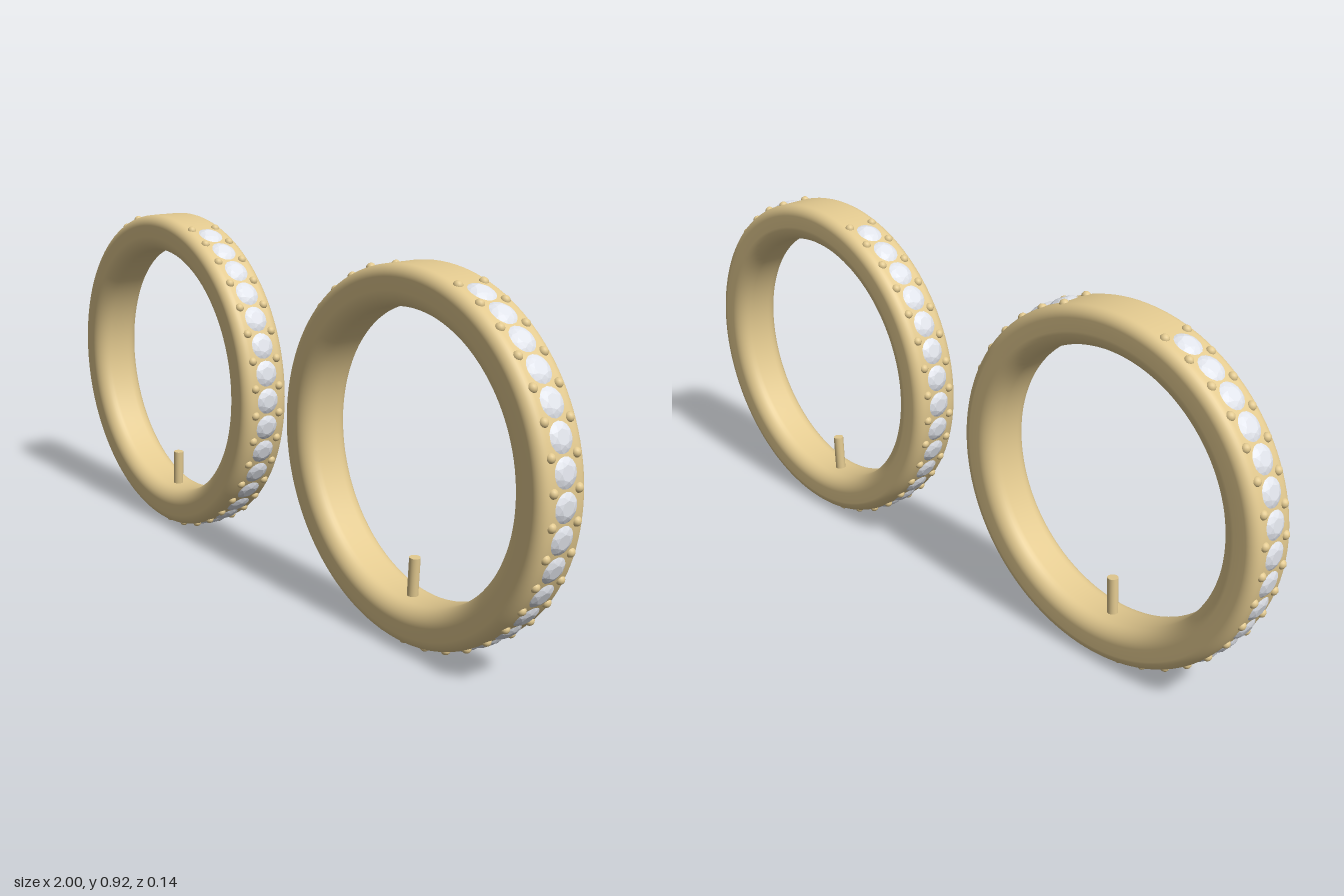
import * as THREE from 'three';
import { ConvexGeometry } from 'three/addons/geometries/ConvexGeometry.js';

const OUTER = 0.455, INNER = 0.355, HALF = 0.07;
const CENTRE_X = 0.537, CENTRE_Y = 0.464;
const GEMS = 34;
const START = THREE.MathUtils.degToRad(71); // stones run from here, round the bottom, to the mirror angle
const STEP = (Math.PI + 2 * START) / GEMS;

// Band: rounded rectangular section revolved about the z axis
function bandGeometry() {
  const pts = [new THREE.Vector2(OUTER, 0)];
  const corner = (cx, cy, r, a0) => {
    for (let i = 0; i <= 8; i++) {
      const a = a0 + (i / 8) * Math.PI / 2;
      pts.push(new THREE.Vector2(cx + r * Math.cos(a), cy + r * Math.sin(a)));
    }
  };
  const ro = 0.028, ri = 0.04;
  corner(OUTER - ro, HALF - ro, ro, 0);
  corner(INNER + ri, HALF - ri, ri, Math.PI / 2);
  corner(INNER + ri, -HALF + ri, ri, Math.PI);
  corner(OUTER - ro, -HALF + ro, ro, Math.PI * 1.5);
  pts.push(new THREE.Vector2(OUTER, 0));
  return new THREE.LatheGeometry(pts, 128).rotateX(Math.PI / 2);
}

// Round brilliant: table, crown, girdle and point, with its axis along +x
function gemGeometry() {
  const pts = [new THREE.Vector3(-0.022, 0, 0)];
  const ring = (n, r, h, turn) => {
    for (let i = 0; i < n; i++) {
      const a = ((i + turn) / n) * Math.PI * 2;
      pts.push(new THREE.Vector3(h, r * Math.cos(a), r * Math.sin(a)));
    }
  };
  ring(8, 0.018, 0.009, 0);
  ring(8, 0.0275, 0.0055, 0.5);
  ring(16, 0.036, 0, 0);
  return new ConvexGeometry(pts);
}

export function createModel() {
  const gold = new THREE.MeshStandardMaterial({ color: 0xe2c98f });
  const stone = new THREE.MeshStandardMaterial({ color: 0xe0e3ea, flatShading: true });
  const band = bandGeometry();
  const gem = gemGeometry();
  const bead = new THREE.SphereGeometry(0.012, 14, 10);
  const pin = new THREE.CylinderGeometry(0.014, 0.014, 0.13, 20);

  const add = (parent, name, geometry, material) => {
    const mesh = new THREE.Mesh(geometry, material);
    mesh.name = name;
    parent.add(mesh);
    return mesh;
  };

  function hoop(name, x) {
    const group = new THREE.Group();
    group.name = name;
    group.position.set(x, CENTRE_Y, 0);
    add(group, 'band', band, gold);

    // Stones set around the rim
    const stones = new THREE.Group();
    stones.name = 'stones';
    for (let i = 0; i < GEMS; i++) {
      const a = START - (i + 0.5) * STEP;
      const m = add(stones, 'stone', gem, stone);
      m.position.set(0.453 * Math.cos(a), 0.453 * Math.sin(a), 0);
      m.rotation.z = a;
    }

    // Pairs of holding beads between the stones
    const beads = new THREE.Group();
    beads.name = 'beads';
    for (let i = 0; i <= GEMS; i++) {
      const a = START - i * STEP;
      for (const z of [-0.038, 0.038]) {
        add(beads, 'bead', bead, gold)
          .position.set(0.452 * Math.cos(a), 0.452 * Math.sin(a), z);
      }
    }
    group.add(stones, beads);

    // Short post rising from the inside of the band
    const post = add(group, 'post', pin, gold);
    post.position.set(-0.014, 0.143 - CENTRE_Y, 0);
    post.rotation.z = -0.05;
    return group;
  }

  const model = new THREE.Group();
  model.name = 'hoopEarrings';
  model.add(hoop('leftHoop', CENTRE_X), hoop('rightHoop', -CENTRE_X));
  return model;
}
